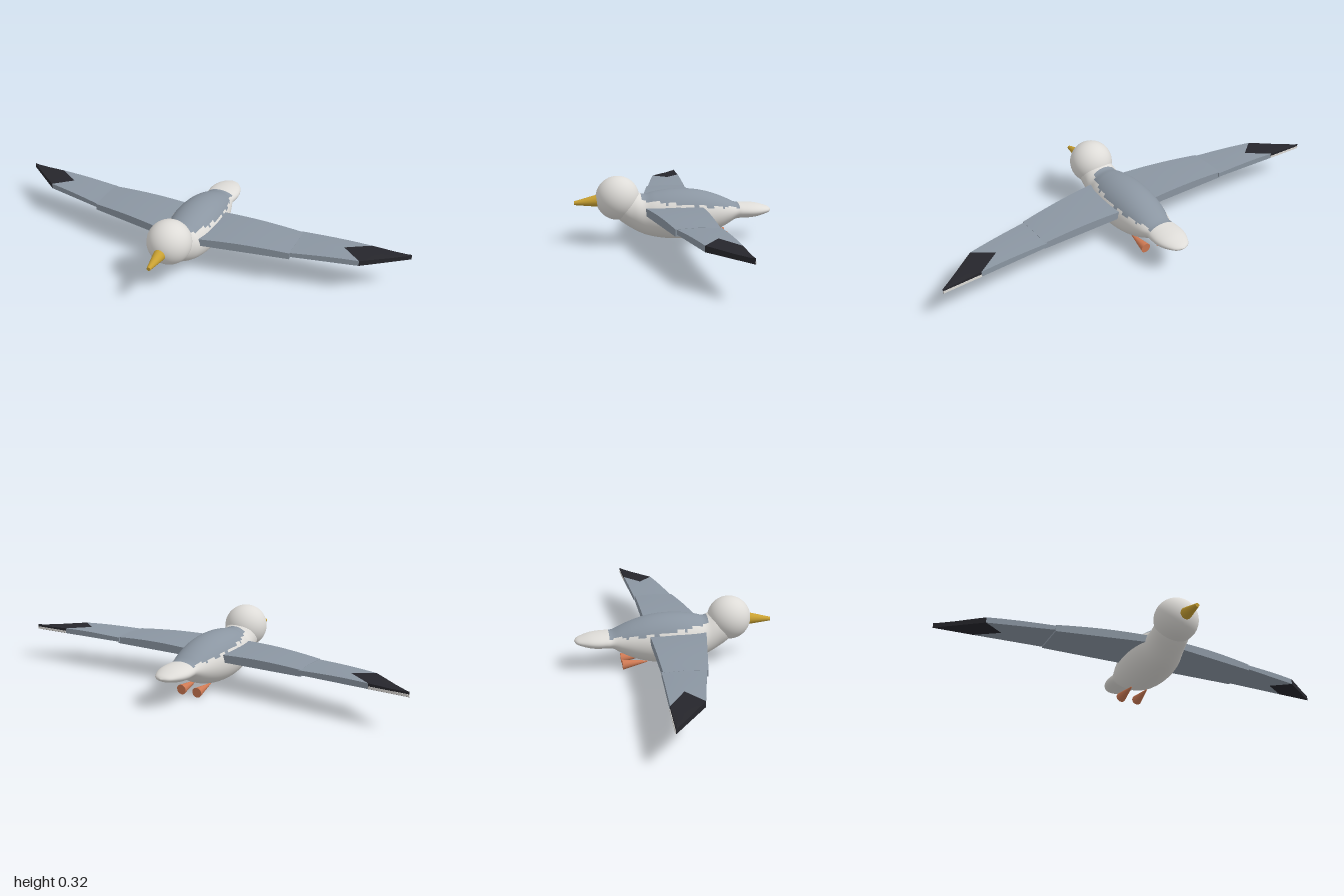
import * as THREE from 'three';
import { toCreasedNormals } from 'three/addons/utils/BufferGeometryUtils.js';

const material = (name, color, side = THREE.FrontSide) => {
  const m = new THREE.MeshStandardMaterial({ color, side });
  m.name = name;
  return m;
};

export function createModel() {
  const model = new THREE.Group();
  model.name = 'seabird';
  const white = material('whitePlumage', 0xdedcd8);
  const grey = material('greyPlumage', 0x8b96a2);
  const black = material('blackWingtip', 0x26262c);
  const yellow = material('yellowBeak', 0xc9a132);
  const orange = material('orangeFeet', 0xcf7a54);

  const add = (name, geometry, mat, parent = model) => {
    const mesh = new THREE.Mesh(geometry, mat);
    mesh.name = name;
    parent.add(mesh);
    return mesh;
  };

  // Body and tail: elliptical sections [z, top, bottom, half width]
  const sections = [
    [0.30, 0.255, 0.150, 0.050], [0.25, 0.270, 0.107, 0.080], [0.20, 0.262, 0.073, 0.086],
    [0.15, 0.236, 0.047, 0.093], [0.10, 0.245, 0.032, 0.108], [0.04, 0.254, 0.022, 0.118],
    [-0.02, 0.257, 0.019, 0.121], [-0.08, 0.254, 0.023, 0.118], [-0.14, 0.244, 0.034, 0.111],
    [-0.20, 0.226, 0.054, 0.099], [-0.25, 0.205, 0.079, 0.085], [-0.29, 0.186, 0.104, 0.073],
    [-0.32, 0.183, 0.109, 0.076], [-0.36, 0.181, 0.110, 0.077], [-0.40, 0.176, 0.115, 0.069],
    [-0.44, 0.165, 0.126, 0.049], [-0.46, 0.157, 0.134, 0.030], [-0.471, 0.147, 0.146, 0.001],
  ];
  const [tops, bottoms, widths] = [1, 2, 3].map(
    k => new THREE.SplineCurve(sections.map(s => new THREE.Vector2(s[0], s[k]))));
  const rows = 85, sides = 48, pos = [], whiteFaces = [], greyFaces = [];
  for (let i = 0; i <= rows; i++) {
    const t = i / rows, top = tops.getPoint(t), low = bottoms.getPoint(t).y, w = widths.getPoint(t).y;
    for (let j = 0; j < sides; j++) {
      const a = (j / sides) * Math.PI * 2;
      pos.push(w * Math.cos(a), (top.y + low) / 2 + ((top.y - low) / 2) * Math.sin(a), top.x);
    }
  }
  // Faces on the upper back form the grey mantle, with a ragged feather edge
  for (let i = 0; i < rows; i++) {
    for (let j = 0; j < sides; j++) {
      const k = (j + 1) % sides;
      const a = i * sides + j, b = i * sides + k, c = a + sides, d = b + sides;
      const y = (pos[a * 3 + 1] + pos[d * 3 + 1]) / 2, z = (pos[a * 3 + 2] + pos[d * 3 + 2]) / 2;
      const edge = 0.2 + 0.1 * z + 0.004 * Math.sin(z * 90);
      const isMantle = z < 0.16 && z > -0.31 && y > edge;
      (isMantle ? greyFaces : whiteFaces).push(a, c, b, b, c, d);
    }
  }
  const bodyGeo = new THREE.BufferGeometry();
  bodyGeo.setAttribute('position', new THREE.Float32BufferAttribute(pos, 3));
  bodyGeo.setIndex([...whiteFaces, ...greyFaces]);
  bodyGeo.addGroup(0, whiteFaces.length, 0);
  bodyGeo.addGroup(whiteFaces.length, greyFaces.length, 1);
  bodyGeo.computeVertexNormals();
  add('bodyAndTail', bodyGeo, [white, grey]);

  // Head
  add('head', new THREE.SphereGeometry(0.103, 40, 28), white).position.set(0, 0.221, 0.268);

  // Tapered round part running between two points
  const taper = (name, from, to, r0, r1, mat, parent) => {
    const a = new THREE.Vector3(...from), b = new THREE.Vector3(...to);
    const mesh = add(name, new THREE.CylinderGeometry(r1, r0, a.distanceTo(b), 20), mat, parent);
    mesh.position.lerpVectors(a, b, 0.5);
    mesh.quaternion.setFromUnitVectors(new THREE.Vector3(0, 1, 0), b.sub(a).normalize());
  };
  taper('beak', [0, 0.211, 0.35], [0, 0.201, 0.471], 0.031, 0.009, yellow);

  // Wing panel between two chord lines, each three [x, z] points from front to back
  const panel = (side, inner, outer, low, high, camber = 0.004, steps = 10) => {
    const out = [];
    const point = (u, v, upper) => {
      const t = u / steps;
      const x = THREE.MathUtils.lerp(inner[v][0], outer[v][0], t);
      const z = THREE.MathUtils.lerp(inner[v][1], outer[v][1], t);
      return [side * x, upper ? high(x) + (v === 1 ? camber : 0) : low, z];
    };
    const quad = (...q) => {
      if (side < 0) q.reverse();
      out.push(...q[0], ...q[1], ...q[2], ...q[0], ...q[2], ...q[3]);
    };
    for (let u = 0; u < steps; u++) {
      for (let v = 0; v < 2; v++) {
        quad(point(u, v, 1), point(u + 1, v, 1), point(u + 1, v + 1, 1), point(u, v + 1, 1));
        quad(point(u, v + 1, 0), point(u + 1, v + 1, 0), point(u + 1, v, 0), point(u, v, 0));
      }
      quad(point(u, 0, 0), point(u + 1, 0, 0), point(u + 1, 0, 1), point(u, 0, 1));
      quad(point(u, 2, 1), point(u + 1, 2, 1), point(u + 1, 2, 0), point(u, 2, 0));
    }
    for (let v = 0; v < 2; v++) {
      quad(point(steps, v, 0), point(steps, v + 1, 0), point(steps, v + 1, 1), point(steps, v, 1));
      quad(point(0, v, 1), point(0, v + 1, 1), point(0, v + 1, 0), point(0, v, 0));
    }
    const g = new THREE.BufferGeometry();
    g.setAttribute('position', new THREE.Float32BufferAttribute(out, 3));
    return toCreasedNormals(g, 0.5);
  };

  const innerTop = x => 0.177 + 0.011 * Math.sin(Math.PI * Math.min(1, x / 0.53));
  const outerTop = x => 0.178 + 0.006 * Math.max(0, Math.sin((Math.PI * (x - 0.5)) / 0.42));
  const chevron = [[0.8, 0], [0.71, -0.07], [0.82, -0.145]];
  for (const side of [1, -1]) {
    const label = side > 0 ? 'left' : 'right';
    const wing = new THREE.Group();
    wing.name = label + 'Wing';
    model.add(wing);
    add('innerWing', panel(side, [[0.04, 0.152], [0.04, 0.01], [0.04, -0.123]],
      [[0.5, 0.07], [0.5, -0.03], [0.5, -0.123]], 0.148, innerTop), grey, wing);
    add('outerWing', panel(side, [[0.49, 0.066], [0.49, -0.03], [0.49, -0.129]],
      chevron, 0.157, outerTop), grey, wing);
    add('wingTip', panel(side, chevron,
      [[1, -0.15], [1, -0.151], [1, -0.152]], 0.157, outerTop, 0.003), black, wing);
    // Pale lower trim along the back of the wing tip
    add('tipTrim', panel(side, [[0.82, -0.143], [0.82, -0.144], [0.82, -0.147]],
      [[1, -0.15], [1, -0.151], [1, -0.154]], 0.158, () => 0.169, 0, 1), white, wing);
    // Tucked foot
    taper(label + 'Foot', [side * 0.04, 0.037, -0.13], [side * 0.042, 0.027, -0.249],
      0.003, 0.024, orange);
  }
  return model;
}
